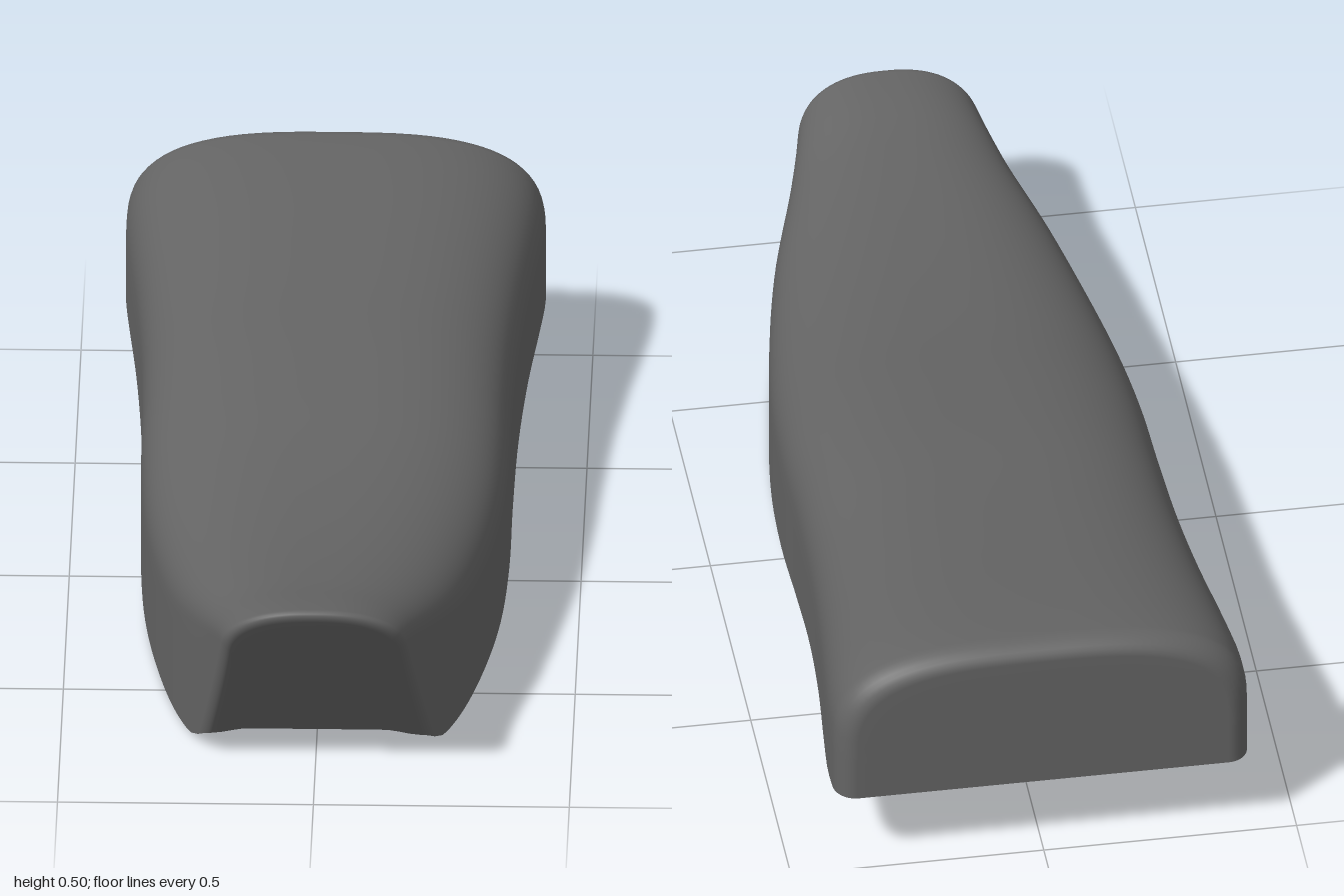
import * as THREE from 'three';

// Smooth curve through [position, value] pairs sorted by position
function curve(pts) {
  const slope = (i) => {
    const a = pts[Math.max(i - 1, 0)], b = pts[Math.min(i + 1, pts.length - 1)];
    return (b[1] - a[1]) / (b[0] - a[0]);
  };
  return (x) => {
    x = THREE.MathUtils.clamp(x, pts[0][0], pts[pts.length - 1][0]);
    let i = 0;
    while (i < pts.length - 2 && x > pts[i + 1][0]) i++;
    const [x0, y0] = pts[i], [x1, y1] = pts[i + 1];
    const d = x1 - x0, t = (x - x0) / d, t2 = t * t, t3 = t2 * t;
    return (2 * t3 - 3 * t2 + 1) * y0 + (t3 - 2 * t2 + t) * d * slope(i)
      + (3 * t2 - 2 * t3) * y1 + (t3 - t2) * d * slope(i + 1);
  };
}

// Half width, crest height, lower edge, shoulder height and squareness along z
const halfWidth = curve([[-1, 0.408], [-0.9, 0.41], [-0.8, 0.402], [-0.6, 0.382], [-0.4, 0.368], [-0.2, 0.362],
  [0, 0.36], [0.2, 0.348], [0.4, 0.32], [0.6, 0.277], [0.8, 0.213], [0.9, 0.185], [1, 0.165]]);
const crest = curve([[-1, 0.497], [-0.93, 0.497], [-0.8, 0.486], [-0.6, 0.464], [-0.4, 0.443], [-0.2, 0.425],
  [0, 0.402], [0.2, 0.378], [0.4, 0.366], [0.6, 0.368], [0.8, 0.385], [0.92, 0.405], [1, 0.415]]);
const hem = curve([[-1, 0.172], [-0.8, 0.155], [-0.6, 0.133], [-0.4, 0.1], [-0.2, 0.06], [0, 0.03],
  [0.2, 0.01], [0.4, 0.003], [0.7, 0], [0.9, 0.003], [0.94, 0.008], [0.97, 0.022], [1, 0.045]]);
const shoulder = curve([[-1, 0.217], [-0.5, 0.205], [0, 0.19], [0.5, 0.165], [0.8, 0.13], [1, 0.1]]);
const squareness = curve([[-1, 3], [0, 2.8], [1, 2.4]]);

const WALL = 8, ARC = 20;

// Arch section at station z, shrunk by k to close the ends
function section(z, k) {
  const top = crest(z), low = hem(z), b = shoulder(z), n = squareness(z);
  const lean = 0.6 * THREE.MathUtils.smoothstep(z, 0.2, 1);
  const leanZ = (y) => z - lean * (top - y);
  const half = [];
  for (let i = 0; i < WALL; i++) half.push([1, low + (top - b - low) * i / WALL]);
  for (let i = 0; i <= ARC; i++) {
    const a = i / ARC * Math.PI / 2;
    half.push([i === ARC ? 0 : Math.cos(a) ** (2 / n), top - b + b * Math.sin(a) ** (2 / n)]);
  }
  // the lower edge arches up towards the middle of the nose
  const base = z > 0.99 ? low + 0.015 * THREE.MathUtils.smoothstep(1 - k, 0.06, 0.4) : low;
  const right = half.map(([u, y]) => {
    const ky = base + (y - low) * k;
    return [-u * halfWidth(leanZ(y)) * k, ky, leanZ(ky)];
  });
  const left = right.slice(0, -1).reverse().map(([x, y, zz]) => [-x, y, zz]);
  return [...right, ...left];
}

function seatShell() {
  const rows = [], ROUND = 7, BODY = 50, CAP = 10;
  // flat rear panel
  for (let i = 0; i < CAP; i++) rows.push([-1, 0.9 * i / CAP]);
  // rounded rear edge
  for (let i = ROUND; i > 0; i--) {
    const a = i / ROUND * Math.PI / 2;
    rows.push([-0.95 - 0.05 * Math.sin(a), 1 - 0.1 * (1 - Math.cos(a))]);
  }
  // long body
  for (let i = 0; i <= BODY; i++) rows.push([-0.95 + 1.925 * i / BODY, 1]);
  // rounded nose edge
  for (let i = 1; i <= ROUND; i++) {
    const a = i / ROUND * Math.PI / 2;
    rows.push([0.975 + 0.025 * Math.sin(a), 1 - 0.07 * (1 - Math.cos(a))]);
  }
  // slanted nose panel
  for (let i = 1; i <= CAP; i++) rows.push([1, 0.93 * (1 - i / CAP)]);

  const sections = rows.map(([z, k]) => section(z, k));
  const cols = sections[0].length, index = [];
  for (let i = 0; i < sections.length - 1; i++) {
    for (let j = 0; j < cols - 1; j++) {
      const a = i * cols + j, b = a + cols;
      index.push(a, b, a + 1, b, b + 1, a + 1);
    }
  }
  const geometry = new THREE.BufferGeometry();
  geometry.setAttribute('position', new THREE.Float32BufferAttribute(sections.flat(2), 3));
  geometry.setIndex(index);
  geometry.computeVertexNormals();
  return geometry;
}

export function createModel() {
  const group = new THREE.Group();
  group.name = 'saddle';
  const cover = new THREE.MeshStandardMaterial({ color: 0x646464, side: THREE.DoubleSide });
  cover.name = 'dark grey cover';
  const seat = new THREE.Mesh(seatShell(), cover);
  seat.name = 'seatCover';
  group.add(seat);
  return group;
}
